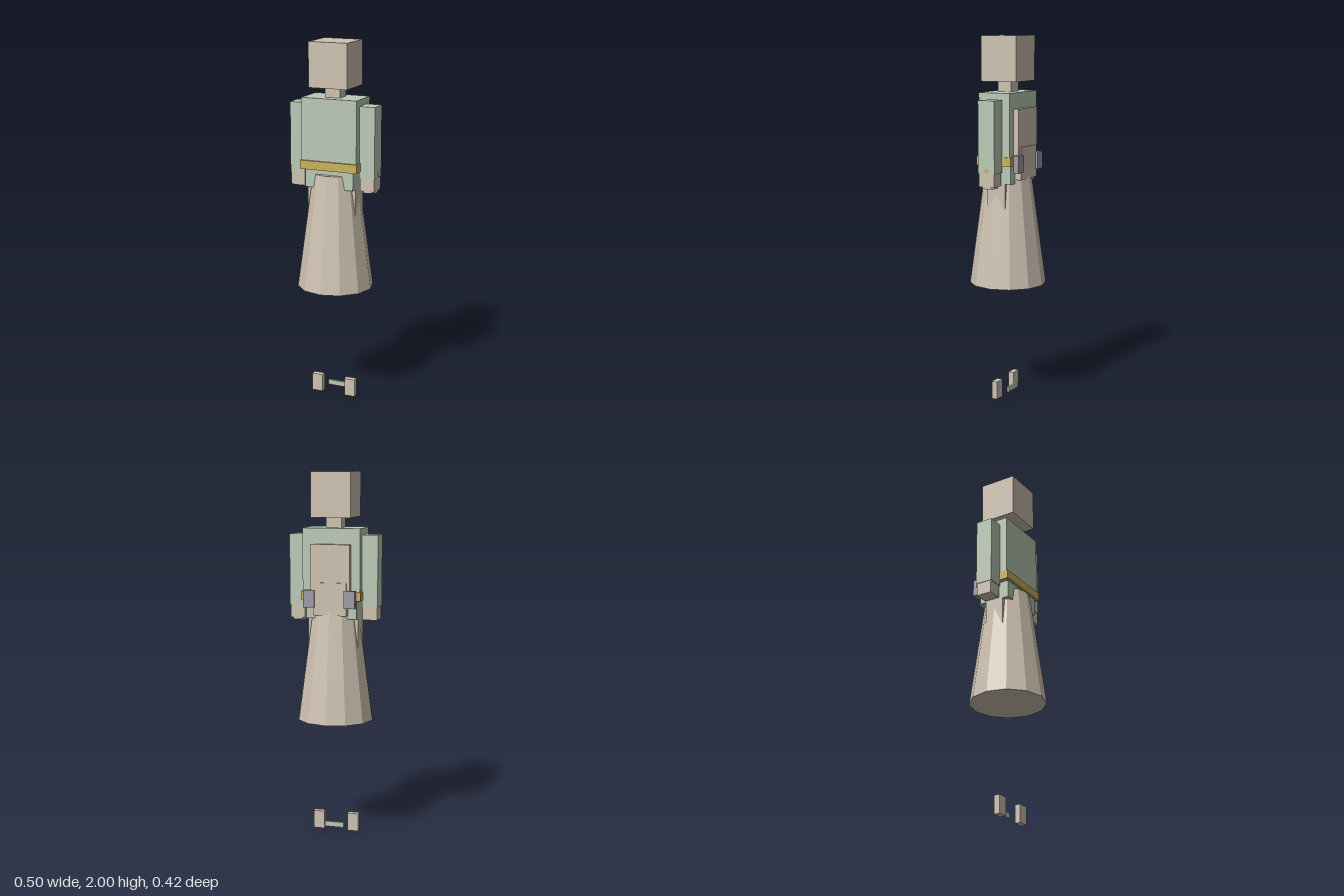
import * as THREE from 'three';

const mat = (name, color) => {
  const m = new THREE.MeshStandardMaterial({ color });
  m.name = name;
  return m;
};

export function createModel() {
  const beige = mat('beige', 0xcfc3b2);
  const green = mat('sage green', 0xbccab6);
  const gold = mat('gold', 0xcbb25c);
  const grey = mat('grey', 0x9e9ba6);

  const model = new THREE.Group();
  model.name = 'robedFigure';
  const body = new THREE.Group();
  body.name = 'body';
  body.position.x = -0.003;
  model.add(body);

  const add = (name, geometry, material, x, y, z) => {
    const mesh = new THREE.Mesh(geometry, material);
    mesh.name = name;
    mesh.position.set(x, y, z);
    body.add(mesh);
    return mesh;
  };
  // box given by its lower and upper limits on each axis
  const box = (name, material, [x0, x1], [y0, y1], [z0, z1]) =>
    add(name, new THREE.BoxGeometry(x1 - x0, y1 - y0, z1 - z0), material,
      (x0 + x1) / 2, (y0 + y1) / 2, (z0 + z1) / 2);
  // upright prism with flat sides
  const prism = (name, material, rTop, rBottom, sides, x, y0, y1) => {
    const g = new THREE.CylinderGeometry(rTop, rBottom, y1 - y0, sides).toNonIndexed();
    g.computeVertexNormals();
    return add(name, g, material, x, (y0 + y1) / 2, 0);
  };

  // head and torso
  box('head', beige, [-0.111, 0.111], [1.757, 2], [-0.105, 0.105]);
  box('neck', beige, [-0.043, 0.043], [1.7, 1.757], [-0.04, 0.04]);
  box('torso', green, [-0.16, 0.16], [1.31, 1.7], [-0.092, 0.092]);
  box('hips', green, [-0.14, 0.14], [1.212, 1.315], [-0.09, 0.09]);
  box('belt', gold, [-0.166, 0.166], [1.312, 1.36], [-0.104, 0.104]);

  // twelve-sided robe skirt
  prism('skirt', beige, 0.123, 0.21, 12, 0, 0.645, 1.287);

  // back panels
  box('backPanel', beige, [-0.11, 0.11], [1.3, 1.615], [-0.121, -0.09]);
  box('lowerBackPanel', beige, [-0.093, 0.093], [1.233, 1.41], [-0.127, -0.09]);

  // paired parts
  for (const [side, s] of [['left', 1], ['right', -1]]) {
    const span = (a, b) => (s > 0 ? [a, b] : [-b, -a]);
    box(side + 'Arm', green, span(0.16, 0.2475), [1.278, 1.665], [-0.049, 0.049]);
    box(side + 'Hand', beige, span(0.163, 0.2445), [1.206, 1.28], [-0.045, 0.045]);
    box(side + 'Leg', beige, span(0.02, 0.14), [0.75, 1.28], [-0.055, 0.055]);
    box(side + 'Pouch', grey, span(0.083, 0.143), [1.275, 1.37], [-0.139, -0.108]);
    box(side + 'Foot', beige, span(0.068, 0.13), [0, 0.1], [0, 0.032]);
  }

  // hilt held in the left hand, with a gold collar
  prism('hilt', beige, 0.043, 0.043, 12, 0.204, 1.196, 1.283);
  prism('hiltCollar', gold, 0.047, 0.047, 12, 0.204, 1.283, 1.303);

  // small bar between the feet
  box('footBar', green, [-0.054, 0.054], [0.025, 0.053], [-0.034, -0.021]);

  return model;
}
